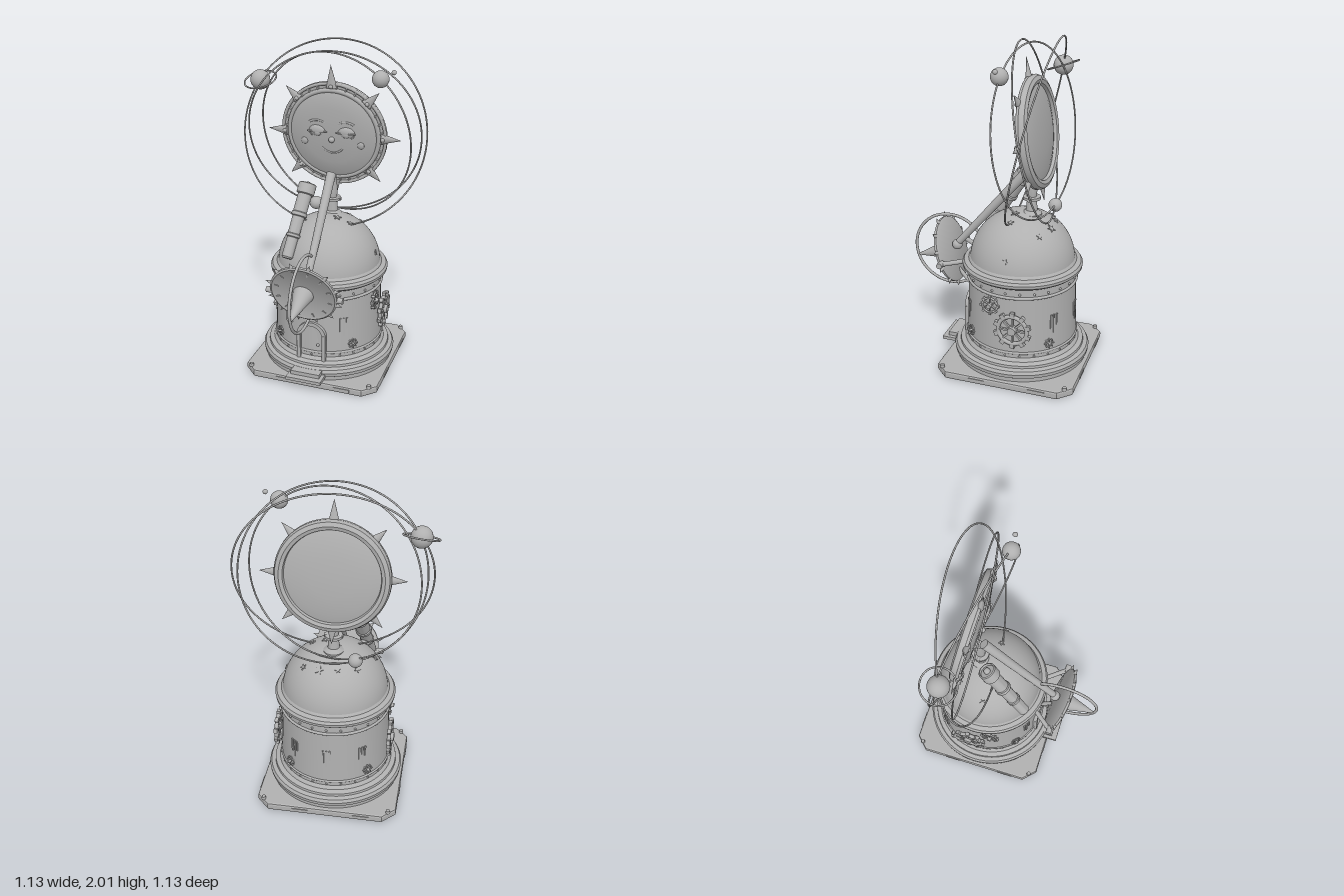
import * as THREE from 'three';
import { toCreasedNormals } from 'three/addons/utils/BufferGeometryUtils.js';

const stone = new THREE.MeshStandardMaterial({ color: 0xb0b0b0, side: THREE.DoubleSide });
stone.name = 'plain grey';
const V = (x, y, z) => new THREE.Vector3(x, y, z);
const UP = V(0, 1, 0);

function part(parent, name, geo, x = 0, y = 0, z = 0, rx = 0, ry = 0, rz = 0) {
  const m = new THREE.Mesh(geo, stone);
  m.name = name;
  m.position.set(x, y, z);
  m.rotation.set(rx, ry, rz);
  parent.add(m);
  return m;
}
function group(parent, name, x = 0, y = 0, z = 0, rx = 0, ry = 0, rz = 0) {
  const g = new THREE.Group();
  g.name = name;
  g.position.set(x, y, z);
  g.rotation.set(rx, ry, rz);
  parent.add(g);
  return g;
}
const box = (w, h, d) => new THREE.BoxGeometry(w, h, d);
const cyl = (rt, rb, h, n = 24) => new THREE.CylinderGeometry(rt, rb, h, n);
const ball = (r) => new THREE.SphereGeometry(r, 24, 16);
const hoop = (r, t, n = 64) => new THREE.TorusGeometry(r, t, 10, n);
const turned = (pts, n = 64) => toCreasedNormals(
  new THREE.LatheGeometry(pts.map(([r, y]) => new THREE.Vector2(r, y)), n), 0.6);

// Tapered rod between two points
function rod(parent, name, a, b, ra, rb) {
  const m = part(parent, name, cyl(rb, ra, a.distanceTo(b)));
  m.position.copy(a).lerp(b, 0.5);
  m.quaternion.setFromUnitVectors(UP, b.clone().sub(a).normalize());
  return m;
}
function star(outer, inner, points, depth) {
  const s = new THREE.Shape();
  for (let i = 0; i < points * 2; i++) {
    const r = i % 2 ? inner : outer, a = Math.PI / 2 + i * Math.PI / points;
    s[i ? 'lineTo' : 'moveTo'](r * Math.cos(a), r * Math.sin(a));
  }
  s.closePath();
  return new THREE.ExtrudeGeometry(s, { depth, bevelEnabled: false });
}
// Spoked gear facing +z
function gear(parent, name, r, teeth, spokes, x, y, z) {
  const g = group(parent, name, x, y, z);
  part(g, 'gearRim', hoop(r * 0.78, r * 0.11, 36));
  part(g, 'gearHub', cyl(r * 0.22, r * 0.25, 0.04), 0, 0, 0.005, Math.PI / 2);
  for (let i = 0; i < teeth; i++) {
    const t = group(g, 'tooth', 0, 0, 0, 0, 0, i * 2 * Math.PI / teeth);
    part(t, 'gearTooth', box(r * 0.24, r * 0.24, 0.022), 0, r * 0.9, 0);
  }
  for (let i = 0; i < spokes; i++)
    part(g, 'gearSpoke', box(r * 0.1, r * 1.5, 0.014), 0, 0, 0, 0, 0, i * Math.PI / spokes);
}

function buildBase(root) {
  const g = group(root, 'base', 0.01, 0, -0.137);
  const h = 0.412, c = 0.07, s = new THREE.Shape();
  s.moveTo(-h + c, -h);
  for (const [x, y] of [[h - c, -h], [h, -h + c], [h, h - c], [h - c, h], [-h + c, h], [-h, h - c], [-h, -h + c]]) s.lineTo(x, y);
  s.closePath();
  part(g, 'baseSlab', new THREE.ExtrudeGeometry(s, { depth: 0.024, bevelSize: 0.012, bevelThickness: 0.012, bevelSegments: 2 }),
    0, 0.012, 0, -Math.PI / 2);
  for (const x of [-1, 1]) for (const z of [-1, 1])
    part(g, 'cornerBolt', cyl(0.012, 0.014, 0.02, 12), x * 0.38, 0.055, z * 0.38);
  for (let i = 0; i < 4; i++) {
    const side = group(g, 'edgePlates', 0, 0, 0, 0, i * Math.PI / 2);
    for (const x of [-0.15, 0.22]) part(side, 'edgePlate', box(0.1, 0.016, 0.008), x, 0.026, 0.424);
  }
  part(g, 'doorStep', box(0.22, 0.02, 0.17), 0, 0.08, 0.405);
  part(g, 'upperStep', box(0.18, 0.024, 0.14), 0, 0.105, 0.385);
}

function buildTower(root) {
  const g = group(root, 'tower', 0.01, 0, -0.137);
  part(g, 'towerWall', turned([[0, 0.045], [0.4, 0.045], [0.4, 0.07], [0.412, 0.078], [0.415, 0.1], [0.405, 0.118],
    [0.38, 0.125], [0.378, 0.14], [0.35, 0.15], [0.34, 0.165], [0.335, 0.17], [0.322, 0.63], [0, 0.63]]));
  part(g, 'lowerBand', hoop(0.334, 0.008), 0, 0.2, 0, Math.PI / 2);
  part(g, 'upperBand', hoop(0.326, 0.009), 0, 0.555, 0, Math.PI / 2);
  part(g, 'cornice', turned([[0.32, 0.615], [0.345, 0.62], [0.36, 0.633], [0.362, 0.65], [0.352, 0.666], [0.325, 0.675], [0.315, 0.69]]));
  part(g, 'dome', new THREE.SphereGeometry(0.316, 64, 24, 0, 2 * Math.PI, 0, Math.PI / 2), 0, 0.66, 0);
  for (let i = 0; i < 24; i++) {
    const a = i * Math.PI / 12;
    part(g, 'rivet', ball(0.007), 0.326 * Math.sin(a), 0.58, 0.326 * Math.cos(a));
    part(g, 'rivet', ball(0.006), 0.336 * Math.sin(a), 0.18, 0.336 * Math.cos(a));
  }

  // Slit windows and small rosettes
  for (const deg of [-28, 34, 90 + 52, -90 - 52, 180]) {
    const w = group(g, 'slitWindow', 0, 0, 0, 0, deg * Math.PI / 180);
    [0.09, 0.12, 0.07].forEach((len, i) => part(w, 'slit', box(0.01, len, 0.01), (i - 1) * 0.02, 0.43 - len / 2, 0.329));
  }
  for (const deg of [-44, 44, 136, -136]) {
    const w = group(g, 'rosette', 0, 0, 0, 0, deg * Math.PI / 180);
    gear(w, 'rosetteGear', 0.03, 8, 2, 0, 0.25, 0.334);
  }
  // Side gears
  for (const side of [-1, 1]) {
    const s = group(g, 'sideGears', 0, 0, 0, 0, side * Math.PI / 2);
    gear(s, 'largeGear', 0.112, 10, 4, side * 0.05, 0.36, 0.345);
    gear(s, 'smallGear', 0.058, 8, 3, side * -0.095, 0.49, 0.325);
  }
  // Stars laid on the dome
  for (const [x, z, r] of [[0.06, -0.19, 0.028], [-0.045, -0.185, 0.02], [0.06, 0.03, 0.026], [-0.23, 0.03, 0.022],
    [0.14, 0.03, 0.02], [0.298, 0.01, 0.018], [-0.15, -0.14, 0.022], [0.16, -0.15, 0.02]]) {
    const n = V(x, Math.sqrt(0.316 ** 2 - x * x - z * z), z).normalize();
    const m = part(g, 'domeStar', star(r, r * 0.4, 5, 0.008));
    m.position.copy(n).multiplyScalar(0.314).add(V(0, 0.66, 0));
    m.quaternion.setFromUnitVectors(V(0, 0, 1), n);
  }

  // Arched door
  const d = group(g, 'door', 0, 0, 0.325);
  const arch = (w, y0, y1) => {
    const s = new THREE.Shape();
    s.moveTo(-w, y0); s.lineTo(w, y0); s.lineTo(w, y1 - w);
    s.absarc(0, y1 - w, w, 0, Math.PI); s.lineTo(-w, y0);
    return s;
  };
  const frame = arch(0.092, 0.13, 0.4);
  frame.holes.push(arch(0.068, 0.135, 0.376));
  part(d, 'doorFrame', new THREE.ExtrudeGeometry(frame, { depth: 0.04, bevelEnabled: false }), 0, 0, -0.022);
  part(d, 'doorPanel', new THREE.ExtrudeGeometry(arch(0.07, 0.13, 0.378), { depth: 0.024, bevelEnabled: false }), 0, 0, -0.02);
  for (const x of [-0.08, 0.08]) part(d, 'doorPost', cyl(0.014, 0.014, 0.18, 16), x, 0.23, 0.008);
  part(d, 'doorKnob', ball(0.009), 0.042, 0.25, 0.01);
}

function buildSun(root) {
  // Neck post
  part(root, 'neck', turned([[0.06, 0.93], [0.06, 0.965], [0.035, 0.985], [0.028, 1.05], [0.052, 1.052], [0.052, 1.068],
    [0.028, 1.07], [0.032, 1.11], [0.024, 1.2], [0, 1.2]], 32), 0.01, 0, -0.19);
  rod(root, 'neckPin', V(-0.045, 1.06, -0.19), V(0.065, 1.06, -0.19), 0.012, 0.012);

  const g = group(root, 'sun', 0.01, 1.46, -0.215, 0.14);
  part(g, 'sunFace', turned([[0, -0.045], [0.12, -0.04], [0.22, -0.03], [0.272, -0.015], [0.275, 0.012], [0.25, 0.024], [0.17, 0.038], [0.08, 0.045], [0, 0.047]]), 0, 0, 0, Math.PI / 2);
  part(g, 'faceRim', hoop(0.277, 0.014), 0, 0, 0.008);
  part(g, 'outerRim', hoop(0.318, 0.01), 0, 0, 0.006);
  part(g, 'backRim', turned([[0.27, -0.012], [0.275, -0.035], [0.295, -0.042], [0.318, -0.032], [0.327, -0.012], [0.325, 0], [0.27, 0]]), 0, 0, 0, Math.PI / 2);
  for (let i = 0; i < 32; i++) {
    const t = group(g, 'rimTick', 0, 0, 0, 0, 0, (i + 0.5) * Math.PI / 16);
    part(t, 'tick', box(0.009, 0.04, 0.018), 0, 0.298, 0.005);
  }
  // Eight rays
  for (let i = 0; i < 8; i++) {
    const t = group(g, 'ray', 0, 0, 0, 0, 0, i * Math.PI / 4);
    const len = i === 0 ? 0.14 : i % 2 ? 0.11 : 0.12;
    const c = part(t, 'rayCone', new THREE.ConeGeometry(0.034, len, 16), 0, 0.295 + len / 2, 0.008);
    c.scale.z = 0.6;
    part(t, 'rayStud', ball(0.013), 0, 0.305, 0.022);
  }
  // Face
  for (const s of [-1, 1]) {
    const e = group(g, 'eye', s * 0.088, 0.025, 0.032);
    part(e, 'eyeball', ball(0.05)).scale.set(1, 0.72, 0.4);
    part(e, 'pupil', ball(0.02), 0, -0.006, 0.016).scale.z = 0.5;
    part(e, 'upperLid', new THREE.SphereGeometry(0.057, 24, 10, 0, 2 * Math.PI, 0, Math.PI / 2), 0, 0.004, 0).scale.set(1, 0.72, 0.46);
    part(e, 'lidEdge', box(0.12, 0.007, 0.01), 0, 0.004, 0.02);
    part(e, 'lowerLid', new THREE.TorusGeometry(0.05, 0.005, 8, 24, Math.PI), 0, 0, 0.006, 0, 0, Math.PI).scale.y = 0.75;
    part(e, 'brow', new THREE.TorusGeometry(0.09, 0.007, 8, 16, 1.15), 0, -0.018, 0.006, 0, 0, Math.PI / 2 - 0.575);
    part(g, 'cheek', ball(0.022), s * 0.175, -0.045, 0.035).scale.z = 0.4;
  }
  part(g, 'nose', ball(0.018), 0, -0.018, 0.05);
  part(g, 'mouth', new THREE.TorusGeometry(0.08, 0.006, 8, 24, 1.8), 0, -0.025, 0.042, 0, 0, -Math.PI / 2 - 0.9);
}

function buildOrbits(root) {
  const g = group(root, 'orbits', 0.01, 1.462, -0.212);
  // Each orbit plane follows z = a x + b y
  for (const [r, a, b] of [[0.555, -0.1, -0.24], [0.522, -0.13, 0.2], [0.502, 0.19, 0.135]]) {
    part(g, 'orbitRing', hoop(r, 0.005, 128)).quaternion.setFromUnitVectors(V(0, 0, 1), V(-a, -b, 1).normalize());
  }
  part(g, 'ringedPlanet', ball(0.06), -0.475, 0.284, -0.021);
  part(g, 'planetRing', hoop(0.098, 0.005), -0.475, 0.284, -0.021, Math.PI / 2 + 0.35, 0.1);
  part(g, 'planet', ball(0.049), 0.31, 0.378, 0.115);
  part(g, 'moon', ball(0.014), 0.385, 0.42, 0.112);
  part(g, 'lowPlanet', ball(0.041), -0.142, -0.49, -0.082);
}

function buildDial(root) {
  // Local y runs out along the pointer
  const g = group(root, 'dial', 0.01, 0.655, 0.325, Math.PI / 2 + 0.31);
  part(g, 'dialDisc', turned([[0, -0.014], [0.19, -0.014], [0.203, -0.006], [0.203, 0.008], [0.193, 0.014], [0.183, 0.008], [0, 0.008]]));
  part(g, 'pointerCone', new THREE.ConeGeometry(0.064, 0.245, 32), 0, 0.126, 0);
  for (let i = 0; i < 12; i++) {
    const t = group(g, 'dialSpike', 0, 0, 0, 0, (i + 0.5) * Math.PI / 6);
    part(t, 'spike', new THREE.ConeGeometry(0.014, 0.04, 12), 0, 0, 0.216, Math.PI / 2);
    part(t, 'hourMark', box(0.008, 0.006, 0.025), 0, 0.01, 0.165);
  }
  part(root, 'dialHoop', hoop(0.228, 0.009), 0.01, 0.655, 0.33, 0, Math.PI / 2);
  rod(root, 'longArm', V(0.01, 0.69, 0.29), V(0.01, 1.225, -0.165), 0.02, 0.029);
  part(root, 'armFoot', ball(0.032), 0.01, 0.69, 0.285);
  for (const s of [-1, 1]) {
    rod(root, 'dialStrut', V(0.01 + s * 0.11, 0.64, 0.19), V(0.01 + s * 0.205, 0.64, 0.31), 0.014, 0.014);
    rod(root, 'strutKnob', V(0.01 + s * 0.185, 0.64, 0.312), V(0.01 + s * 0.235, 0.64, 0.312), 0.018, 0.018);
  }
  rod(root, 'lowerStrut', V(0.01, 0.42, 0.18), V(0.01, 0.53, 0.28), 0.012, 0.012);
}

function buildTelescope(root) {
  const a = V(-0.165, 0.77, 0.14), b = V(-0.118, 1.165, -0.11);
  const m = part(root, 'telescope', turned([[0, 0], [0.026, 0], [0.034, 0.01], [0.034, 0.13], [0.042, 0.135], [0.042, 0.15],
    [0.036, 0.155], [0.038, 0.26], [0.048, 0.265], [0.048, 0.285], [0.042, 0.29], [0.043, 0.4], [0.054, 0.405],
    [0.054, 0.465], [0.046, 0.47], [0.044, 0.455], [0, 0.455]], 32));
  m.position.copy(a);
  m.quaternion.setFromUnitVectors(UP, b.clone().sub(a).normalize());
  part(root, 'telescopeLens', ball(0.02), b.x, b.y - 0.008, b.z + 0.004);
  rod(root, 'telescopeMount', V(-0.13, 0.86, -0.02), V(-0.147, 0.93, 0.04), 0.02, 0.02);
}

export function createModel() {
  const root = new THREE.Group();
  root.name = 'sunObservatory';
  buildBase(root);
  buildTower(root);
  buildSun(root);
  buildOrbits(root);
  buildDial(root);
  buildTelescope(root);
  return root;
}
